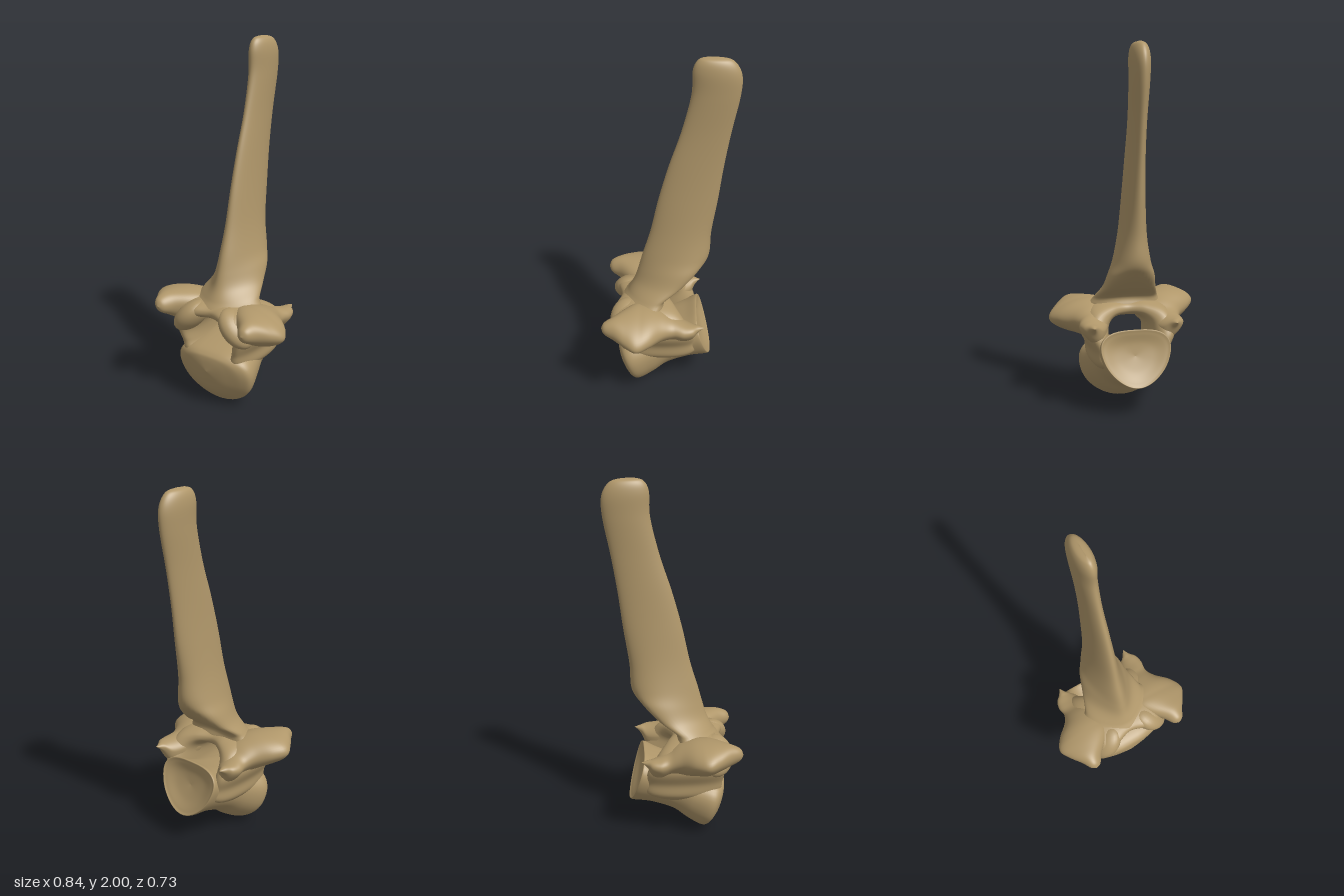
import * as THREE from 'three';

// Catmull-Rom blend of rows of numbers, t in 0..1
function sampleRows(rows, t) {
  const n = rows.length - 1;
  const i = Math.min(Math.floor(t * n), n - 1);
  const f = t * n - i;
  const [a, b, c, d] = [i - 1, i, i + 1, i + 2].map((k) => rows[Math.max(0, Math.min(n, k))]);
  return b.map((p1, k) => {
    const p0 = a[k], p2 = c[k], p3 = d[k];
    return p1 + 0.5 * f * (p2 - p0 + f * (2 * p0 - 5 * p1 + 4 * p2 - p3 + f * (3 * (p1 - p2) + p3 - p0)));
  });
}

// Closed smooth skin through cross-sections; ring(section, angle) returns [x, y, z]
function loft(rows, ring, steps = 64, sides = 48) {
  const pos = [], idx = [];
  for (let i = 0; i <= steps; i++) {
    const section = sampleRows(rows, i / steps);
    for (let j = 0; j < sides; j++) pos.push(...ring(section, (j / sides) * Math.PI * 2));
  }
  for (let i = 0; i < steps; i++) {
    for (let j = 0; j < sides; j++) {
      const a = i * sides + j, b = i * sides + ((j + 1) % sides);
      idx.push(a, b, a + sides, b, b + sides, a + sides);
    }
  }
  // Turn the faces outward if the enclosed volume is negative
  const v = (k) => new THREE.Vector3().fromArray(pos, idx[k] * 3);
  let volume = 0;
  for (let k = 0; k < idx.length; k += 3) volume += v(k).dot(v(k + 1).cross(v(k + 2)));
  if (volume < 0) idx.reverse();
  const geo = new THREE.BufferGeometry();
  geo.setAttribute('position', new THREE.Float32BufferAttribute(pos, 3));
  geo.setIndex(idx);
  geo.computeVertexNormals();
  return geo;
}

const lerp = THREE.MathUtils.lerp;
const soft = (v, e) => Math.sign(v) * Math.pow(Math.abs(v), e);

export function createModel() {
  const group = new THREE.Group();
  const bone = new THREE.MeshStandardMaterial({ color: 0xb0976a });
  bone.name = 'bone';
  const add = (name, geo) => {
    const mesh = new THREE.Mesh(geo, bone);
    mesh.name = name;
    group.add(mesh);
    return mesh;
  };

  // Body: domed front, tilted hollow back [yTop, zTop, yBottom, zBottom, halfWidth, topHeavy]
  add('vertebralBody', loft([
    [0.22, 0.300, 0.22, 0.300, 0, 0],
    [0.29, 0.298, 0.10, 0.262, 0.11, 0.1],
    [0.32, 0.285, 0.03, 0.205, 0.20, 0.15],
    [0.345, 0.240, 0.005, 0.160, 0.24, 0.16],
    [0.37, 0.130, 0.05, 0.080, 0.215, 0.16],
    [0.40, 0.010, 0.11, 0.000, 0.185, 0.18],
    [0.44, -0.090, 0.155, -0.130, 0.182, 0.24],
    [0.475, -0.155, 0.17, -0.240, 0.185, 0.28],
    [0.455, -0.160, 0.19, -0.237, 0.165, 0.28],
    [0.40, -0.155, 0.25, -0.200, 0.10, 0.2],
    [0.33, -0.165, 0.33, -0.165, 0, 0],
  ], ([yT, zT, yB, zB, w, k], a) => {
    const s = soft(Math.sin(a), 0.9), h = (s + 1) / 2;
    return [w * soft(Math.cos(a), s > 0 ? 0.7 : 1) * (1 + k * s), lerp(yB, yT, h), lerp(zB, zT, h)];
  }));

  // Spine: thin blade above, wedge with hollowed back below
  // [yFront, zFront, yBack, zBack, halfWidth, wedge, notch]
  add('neuralSpine', loft([
    [2.00, -0.19, 2.00, -0.25, 0, 0, 0],
    [1.985, -0.145, 1.98, -0.32, 0.034, 0, 0],
    [1.93, -0.118, 1.91, -0.362, 0.05, 0, 0],
    [1.80, -0.113, 1.80, -0.36, 0.048, 0, 0],
    [1.60, -0.065, 1.60, -0.322, 0.042, 0, 0],
    [1.40, 0.00, 1.40, -0.29, 0.045, 0, 0],
    [1.20, 0.055, 1.20, -0.265, 0.054, 0.1, 0],
    [1.00, 0.10, 1.00, -0.235, 0.07, 0.3, 0],
    [0.85, 0.145, 0.85, -0.225, 0.095, 0.5, 0],
    [0.76, 0.17, 0.77, -0.20, 0.12, 0.7, 0.03],
    [0.68, 0.195, 0.69, -0.13, 0.14, 0.75, 0.05],
    [0.61, 0.23, 0.62, -0.03, 0.175, 0.6, 0.05],
    [0.55, 0.262, 0.56, 0.00, 0.20, 0.3, 0.02],
    [0.54, 0.14, 0.55, 0.12, 0, 0, 0],
  ], ([yF, zF, yB, zB, w, k, notch], a) => {
    const c = Math.cos(a), h = (c + 1) / 2;
    const hollow = notch * Math.pow(Math.max(0, -c), 4);
    return [w * Math.sin(a) * (1 - 0.5 * k * c), lerp(yB, yF, h), lerp(zB, zF, h) + hollow];
  }, 110));

  // Arch over the canal, from one deep pedicle wall to the other
  // [x, y, zCentre, outwardX, outwardY, thickness, halfDepth]
  const side = [
    [0.14, 0.20, 0.05, 1, 0, 0, 0],
    [0.15, 0.27, 0.05, 1, 0, 0.065, 0.195],
    [0.17, 0.35, 0.06, 1, 0, 0.058, 0.212],
    [0.19, 0.43, 0.07, 0.97, 0.25, 0.078, 0.215],
    [0.165, 0.51, 0.105, 0.75, 0.66, 0.08, 0.195],
    [0.09, 0.548, 0.13, 0.35, 0.94, 0.055, 0.165],
  ];
  const mirrored = side.map((r) => r.map((v, k) => (k === 0 || k === 3 ? -v : v))).reverse();
  add('neuralArch', loft([...side, [0, 0.55, 0.135, 0, 1, 0.048, 0.135], ...mirrored],
    ([x, y, z, ox, oy, t, d], a) => {
      const r = t * soft(Math.cos(a), 0.85);
      return [x + ox * r, y + oy * r, z + d * soft(Math.sin(a), 0.9)];
    }, 96));

  // Winged side processes, webbed down to the pedicles on the inside
  // [z, xInner, xOuter, yCentre, halfHeight, slope, web]
  const wing = [
    [0.367, 0.28, 0.285, 0.555, 0, 0, 0],
    [0.350, 0.25, 0.315, 0.555, 0.035, 0, 0],
    [0.300, 0.215, 0.345, 0.555, 0.058, -0.1, 0.2],
    [0.235, 0.15, 0.392, 0.553, 0.068, -0.2, 0.9],
    [0.170, 0.11, 0.422, 0.55, 0.07, -0.25, 1.5],
    [0.100, 0.10, 0.385, 0.543, 0.068, -0.2, 1.7],
    [0.030, 0.10, 0.315, 0.52, 0.065, -0.1, 1.7],
    [-0.030, 0.12, 0.287, 0.495, 0.055, 0, 1.7],
    [-0.090, 0.14, 0.294, 0.48, 0.048, 0.1, 1.6],
    [-0.140, 0.17, 0.282, 0.48, 0.038, 0.2, 1.2],
    [-0.170, 0.205, 0.255, 0.495, 0.02, 0.1, 0.5],
    [-0.207, 0.23, 0.234, 0.505, 0, 0, 0],
  ];
  for (const [name, s, drop, lift, tail] of [['left', 1, 0.025, 0, 1], ['right', -1, -0.005, 0.2, 0.88]]) {
    add(name + 'TransverseProcess', loft(wing, ([z, xi, xo, y, h, slope, web], a) => {
      const c = Math.cos(a), up = Math.sin(a), dx = ((xo - xi) / 2) * c;
      const front = Math.max(0, Math.min(1, (z + 0.05) / 0.2));
      const height = h * up * (up < 0 ? 1 + web * (1 - c) / 2 : 1);
      return [s * ((xi + xo) / 2 + dx), y - drop * front + height + (slope + lift * front) * dx, z < 0 ? z * tail : z];
    }));

    // Rounded joint lobe following the rim of the canal
    const lobe = add(name + 'ArticularLobe', new THREE.SphereGeometry(1, 32, 20));
    lobe.scale.set(0.125, 0.068, 0.1);
    lobe.position.set(s * 0.155, 0.495, 0.228);
    lobe.rotation.z = -s * 0.8;
  }

  return group;
}
